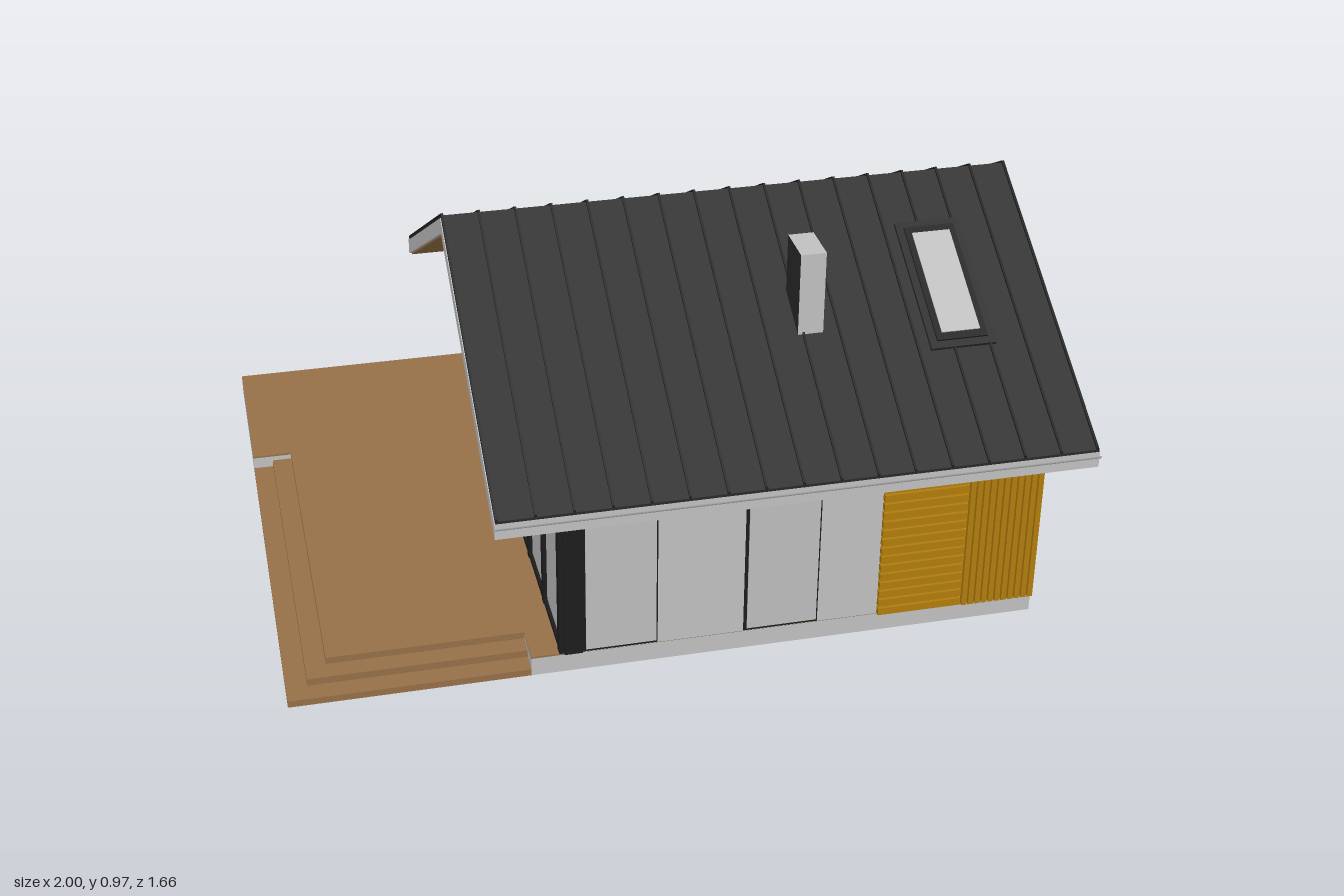
import * as THREE from 'three';

const mat = (name, color, side = THREE.FrontSide) => {
  const m = new THREE.MeshStandardMaterial({ color, side });
  m.name = name;
  return m;
};

export function createModel() {
  const plaster = mat('plaster grey', 0xc0c0c0);
  const gutterGrey = mat('gutter grey', 0xc0c0c0, THREE.DoubleSide);
  const glass = mat('glass grey', 0xbcbcbc);
  const black = mat('metal black', 0x292929);
  const frameBlack = mat('frame black', 0x1c1c1c);
  const deckWood = mat('deck brown', 0x966f48);
  const slatWood = mat('slat gold', 0xb07c0c);

  const house = new THREE.Group();
  house.name = 'house';
  const add = (name, geo, material, parent = house) => {
    const m = new THREE.Mesh(geo, material);
    m.name = name;
    parent.add(m);
    return m;
  };
  // Box given by its limits on each axis
  const box = (name, x0, x1, y0, y1, z0, z1, material, parent) => {
    const g = new THREE.BoxGeometry(x1 - x0, y1 - y0, z1 - z0);
    g.translate((x0 + x1) / 2, (y0 + y1) / 2, (z0 + z1) / 2);
    return add(name, g, material, parent);
  };
  const shapeOf = pts => new THREE.Shape(pts.map(p => new THREE.Vector2(p[0], p[1])));
  // Section in [z, y] extruded along x
  const alongX = (name, pts, x0, x1, material) => {
    const g = new THREE.ExtrudeGeometry(shapeOf(pts), { depth: x1 - x0, bevelEnabled: false });
    return add(name, g.rotateY(-Math.PI / 2).translate(x1, 0, 0), material);
  };
  // Plan in [x, z] extruded upwards
  const plan = (name, pts, y0, y1, material) => {
    const g = new THREE.ExtrudeGeometry(shapeOf(pts.map(p => [p[0], -p[1]])), { depth: y1 - y0, bevelEnabled: false });
    return add(name, g.rotateX(-Math.PI / 2).translate(0, y0, 0), material);
  };

  const FLOOR = 0.055, RIDGE = 0.06, SLOPE = 0.57;
  const roofY = (z, top) => top - SLOPE * Math.abs(z - RIDGE);
  const under = z => roofY(z, 0.91);

  // Slab, deck surface and corner steps
  const slabPlan = [[-1, -0.83], [0.9, -0.83], [0.9, 0.715], [-0.4, 0.715],
    [-0.4, 0.605], [-0.89, 0.605], [-0.89, -0.365], [-1, -0.365]];
  plan('slab', slabPlan, 0, 0.05, plaster);
  plan('deck', slabPlan, 0.05, FLOOR, deckWood);
  [[0, 0.018], [0.053, 0.037], [0.105, FLOOR]].forEach(([o, h]) =>
    plan('step', [[-1 + o, -0.365], [-0.89, -0.365], [-0.89, 0.605], [-0.4, 0.605],
      [-0.4, 0.715 - o], [-1 + o, 0.715 - o]], 0, h, deckWood));

  // Walls: main body and the wing beside the recessed entrance
  const section = zb => [[zb, FLOOR], [0.72, FLOOR], [0.72, under(0.72)], [RIDGE, 0.91], [zb, under(zb)]];
  alongX('mainWalls', section(-0.6), -0.315, 0.61, plaster);
  alongX('wingWalls', section(-0.18), 0.61, 0.9, plaster);

  // Roof: layered chevrons
  const chevron = (name, top, bottom, x0, x1, trim, material) => {
    const f = 0.813 - trim, b = -0.693 + trim;
    return alongX(name, [[b, roofY(b, bottom)], [RIDGE, bottom], [f, roofY(f, bottom)],
      [f, roofY(f, top)], [RIDGE, top], [b, roofY(b, top)]], x0, x1, material);
  };
  chevron('roofCore', 0.953, 0.91, -0.495, 1, 0, plaster);
  chevron('roofSheet', 0.96, 0.953, -0.493, 0.998, 0, black);
  chevron('soffit', 0.91, 0.905, -0.488, 0.993, 0.01, deckWood);
  for (let i = 0; i <= 16; i++) {
    const x = -0.49 + i * 0.0927;
    chevron('roofSeam', 0.966, 0.958, x - 0.003, x + 0.003, 0, frameBlack);
  }
  for (const z of [0.813, -0.693]) {
    const g = new THREE.CylinderGeometry(0.013, 0.013, 1.495, 12, 1, true, Math.PI, Math.PI);
    add('gutter', g.rotateZ(Math.PI / 2).translate(0.2525, 0.52, z), gutterGrey);
  }

  // Chimney with dark flanks
  box('chimney', 0.33, 0.395, 0.62, 0.955, 0.34, 0.455,
    [black, black, plaster, plaster, plaster, plaster]);

  // Skylight lying on the front slope
  const skylight = new THREE.Group();
  skylight.name = 'skylight';
  skylight.position.set(0.738, roofY(0.365, 0.96), 0.365);
  skylight.rotation.x = Math.atan(SLOPE);
  house.add(skylight);
  box('skylightFlashing', -0.085, 0.085, -0.01, 0.009, -0.19, 0.19, black, skylight);
  box('skylightFrame', -0.066, 0.066, 0, 0.014, -0.17, 0.17, frameBlack, skylight);
  box('skylightGlass', -0.05, 0.05, 0.012, 0.017, -0.15, 0.15, glass, skylight);

  // Front windows and dark corner panel
  for (const [x0, x1] of [[-0.272, -0.083], [0.137, 0.328]]) {
    box('windowFrame', x0, x1, 0.058, 0.525, 0.718, 0.723, frameBlack);
    box('windowGlass', x0 + 0.008, x1 - 0.004, 0.065, 0.52, 0.72, 0.726, glass);
  }
  box('cornerPanel', -0.318, -0.272, FLOOR, 0.53, 0.715, 0.724, frameBlack);

  // Front cladding: horizontal then vertical slats
  for (let i = 0; i < 18; i++) {
    const y = 0.058 + i * 0.026;
    box('frontSlat', 0.485, 0.703, y, y + 0.02, 0.718, 0.734, slatWood);
  }
  for (let i = 0; i < 11; i++) {
    const x = 0.707 + i * 0.0177;
    box('frontSlat', x, x + 0.0135, FLOOR, 0.525, 0.718, 0.734, slatWood);
  }

  // Gable cladding, trimmed under the roof
  for (let y = 0.06; y < 0.9; y += 0.022) {
    const z0 = Math.max(-0.38, RIDGE - (0.905 - y - 0.017) / SLOPE);
    if (z0 < 0.07) box('gableSlat', -0.33, -0.312, y, y + 0.017, z0, 0.08, slatWood);
  }

  // Glazed gable with mullions and transoms
  alongX('gableGlass', [[0.08, FLOOR], [0.715, FLOOR], [0.715, under(0.715)], [0.08, under(0.08)]],
    -0.32, -0.314, glass);
  for (const z of [0.09, 0.28, 0.49, 0.705])
    box('mullion', -0.33, -0.314, FLOOR, under(z) - 0.005, z - 0.012, z + 0.012, frameBlack);
  box('sill', -0.328, -0.314, FLOOR, 0.07, 0.08, 0.715, frameBlack);
  box('transom', -0.328, -0.314, 0.56, 0.582, 0.08, 0.64, frameBlack);
  box('doorTransom', -0.328, -0.314, 0.45, 0.47, 0.08, 0.28, frameBlack);
  alongX('rakeFrame', [[0.08, under(0.08) - 0.03], [0.715, under(0.715) - 0.03],
    [0.715, under(0.715)], [0.08, under(0.08)]], -0.328, -0.314, frameBlack);

  // Narrow window at the rear corner of the gable
  box('sideWindowFrame', -0.321, -0.314, 0.057, 0.5, -0.585, -0.385, frameBlack);
  box('sideWindowGlass', -0.324, -0.316, 0.068, 0.49, -0.575, -0.395, glass);

  // Entrance door in the recess
  box('doorLeaf', 0.655, 0.805, FLOOR, 0.44, -0.186, -0.178, glass);
  box('doorHead', 0.645, 0.815, 0.438, 0.452, -0.195, -0.178, plaster);
  for (const x of [0.645, 0.803])
    box('doorJamb', x, x + 0.012, FLOOR, 0.44, -0.195, -0.178, plaster);
  box('doorHandle', 0.672, 0.68, 0.23, 0.26, -0.194, -0.184, frameBlack);

  return house;
}
